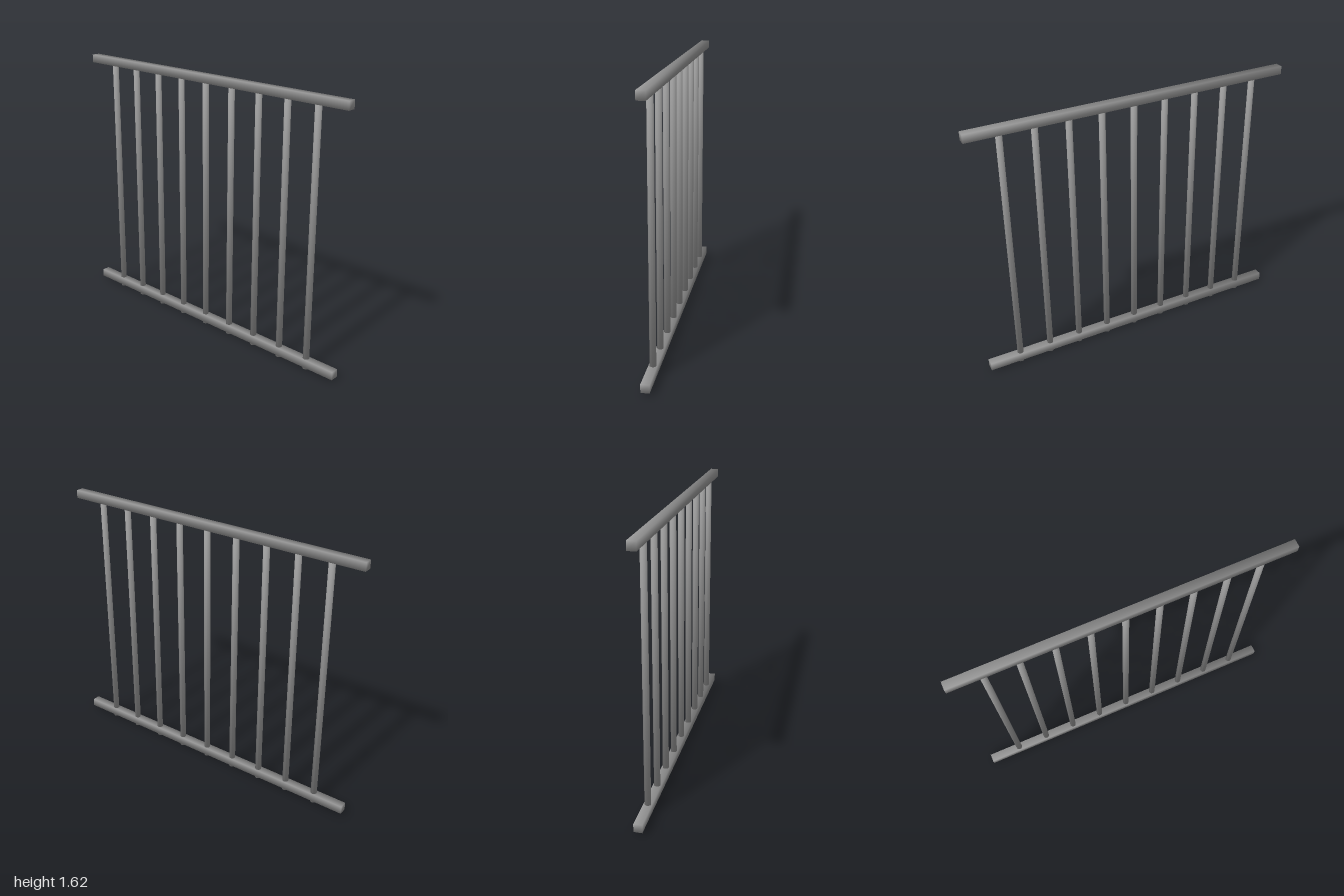
import * as THREE from 'three';
import { mergeVertices } from 'three/addons/utils/BufferGeometryUtils.js';

// Weld a geometry and blend normals over its edges, caps included
function softened(geometry, capTilt, axis) {
  geometry.deleteAttribute('uv');
  geometry.deleteAttribute('normal');
  const welded = mergeVertices(geometry, 1e-4);
  const p = welded.attributes.position;
  const normals = new Float32Array(p.count * 3);
  const n = new THREE.Vector3();
  for (let i = 0; i < p.count; i++) {
    n.fromBufferAttribute(p, i);
    const end = Math.sign(n[axis]);
    n[axis] = 0;
    n.normalize();
    n[axis] = end * capTilt;
    n.normalize().toArray(normals, i * 3);
  }
  welded.setAttribute('normal', new THREE.BufferAttribute(normals, 3));
  return welded;
}

export function createModel() {
  const model = new THREE.Group();
  model.name = 'railing';
  const metal = new THREE.MeshStandardMaterial({ color: 0x999999 });
  metal.name = 'grey metal';

  // Square top and bottom rails
  const railGeometry = softened(new THREE.BoxGeometry(2, 0.05, 0.05), 0.7, 'x');
  for (const [name, y] of [['topRail', 1.59], ['bottomRail', 0.04]]) {
    const rail = new THREE.Mesh(railGeometry, metal);
    rail.name = name;
    rail.position.y = y;
    model.add(rail);
  }

  // Nine round bars, running through the bottom rail to the ground
  const barHeight = 1.58;
  const barGeometry = softened(
    new THREE.CylinderGeometry(0.019, 0.019, barHeight, 12), 0.7, 'y');
  for (let i = 0; i < 9; i++) {
    const bar = new THREE.Mesh(barGeometry, metal);
    bar.name = `bar${i + 1}`;
    bar.position.set((i - 4) * 0.2, barHeight / 2, 0);
    model.add(bar);
  }
  return model;
}
